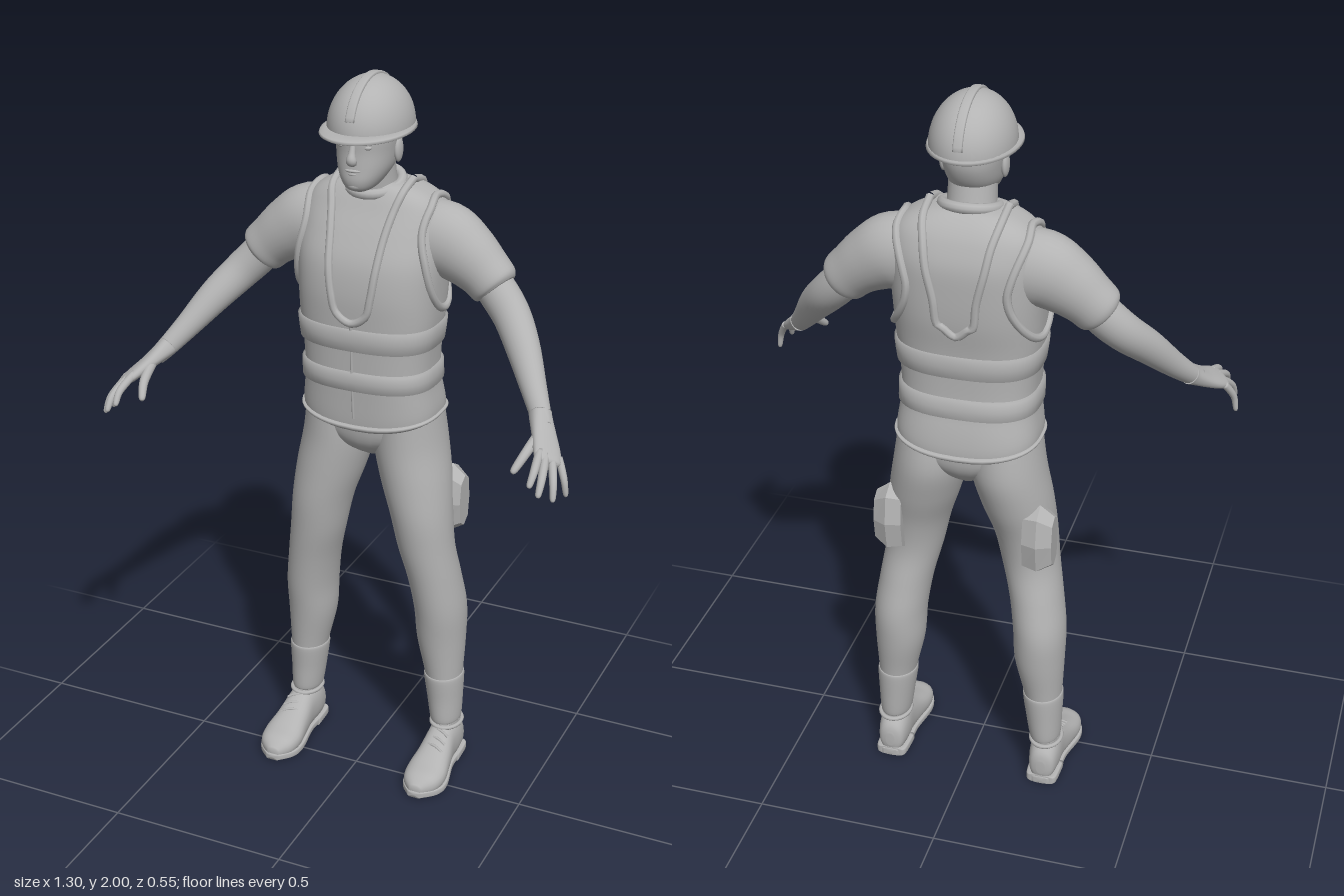
import * as THREE from 'three';

const grey = new THREE.MeshStandardMaterial({ color: 0xb3b3b3 });
grey.name = 'plain grey';
const V = (x, y, z) => new THREE.Vector3(x, y, z);
const X = V(1, 0, 0), Y = V(0, 1, 0), Z = V(0, 0, 1);

// Fill in smooth rows between the given ones (Catmull-Rom on every column)
function smooth(rows, k = 5) {
  const out = [], last = rows.length - 1;
  for (let i = 0; i < last; i++) {
    const [a, b, c, d] = [rows[Math.max(i - 1, 0)], rows[i], rows[i + 1], rows[Math.min(i + 2, last)]];
    for (let j = 0; j < k; j++) {
      const t = j / k;
      out.push(b.map((v, n) => v + 0.5 * t * (c[n] - a[n] + t * (2 * a[n] - 5 * v + 4 * c[n] - d[n]
        + t * (3 * (v - c[n]) + d[n] - a[n])))));
    }
  }
  out.push(rows[last]);
  return out;
}

// Superellipse rings [x, y, z, radius along ref, radius across] joined into a closed skin.
// With no axis the rings follow the path of their centres.
function loft(rows, { axis, ref = Z, n = 2, segs = 28, k = 5, warp } = {}) {
  const r = k > 1 ? smooth(rows, k) : rows, pos = [], idx = [];
  const centre = (i) => V(...r[Math.min(Math.max(i, 0), r.length - 1)].slice(0, 3));
  const add = (p) => { if (warp) warp(p); pos.push(p.x, p.y, p.z); };
  const round = (v) => Math.sign(v) * Math.abs(v) ** (2 / n);
  r.forEach((row, i) => {
    const t = axis || centre(i + 1).sub(centre(i - 1)).normalize();
    const u = ref.clone().addScaledVector(t, -ref.dot(t)).normalize();
    const v = t.clone().cross(u);
    for (let j = 0; j < segs; j++) {
      const a = (j / segs) * Math.PI * 2;
      add(centre(i).addScaledVector(u, row[3] * round(Math.cos(a))).addScaledVector(v, row[4] * round(Math.sin(a))));
    }
  });
  for (let i = 0; i < r.length - 1; i++) for (let j = 0; j < segs; j++) {
    const a = i * segs + j, b = i * segs + (j + 1) % segs;
    idx.push(a, b, a + segs, b, b + segs, a + segs);
  }
  const c0 = r.length * segs, top = c0 - segs;
  add(centre(0)); add(centre(r.length));
  for (let j = 0; j < segs; j++) {
    const q = (j + 1) % segs;
    idx.push(c0, q, j, c0 + 1, top + j, top + q);
  }
  const g = new THREE.BufferGeometry();
  g.setAttribute('position', new THREE.Float32BufferAttribute(pos, 3));
  g.setIndex(idx);
  g.computeVertexNormals();
  return g;
}

// Torso profile by height: front z, back z, half width
const TN = 2.7;
const torsoRows = smooth([
  [1.09, 0.015, -0.262, 0.188], [1.12, 0.02, -0.262, 0.188], [1.2, 0.026, -0.245, 0.178],
  [1.3, 0.03, -0.243, 0.182], [1.37, 0.035, -0.248, 0.19], [1.45, 0.038, -0.26, 0.194],
  [1.53, 0.028, -0.264, 0.197], [1.6, 0, -0.262, 0.194], [1.655, -0.028, -0.245, 0.186],
  [1.69, -0.045, -0.225, 0.16], [1.715, -0.06, -0.2, 0.11], [1.725, -0.075, -0.18, 0.06],
]).map(([y, f, b, w]) => [0, y, (f + b) / 2, (f - b) / 2, w]);

function torsoAt(y) {
  const i = Math.max(1, torsoRows.findIndex((r) => r[1] >= y));
  const a = torsoRows[i - 1], b = torsoRows[i], t = (y - a[1]) / (b[1] - a[1]);
  return a.map((v, n) => v + (b[n] - v) * t);
}
const rim = (q) => Math.max(0, 1 - Math.abs(q) ** TN) ** (1 / TN);
const torsoZ = (x, y, dir) => { const r = torsoAt(y); return r[2] + dir * r[3] * rim(x / r[4]); };
const torsoX = (z, y) => { const r = torsoAt(y); return r[4] * rim((z - r[2]) / r[3]); };
const hemDip = (p) => {
  if (p.y < 1.15) p.y -= 0.028 * (1 - (p.x / 0.2) ** 2) * (1.15 - p.y) / 0.06;
};

export function createModel() {
  const model = new THREE.Group();
  const part = (name, geo, parent = model) => {
    const m = new THREE.Mesh(geo, grey);
    m.name = name;
    parent.add(m);
    return m;
  };
  const group = (name) => { const g = new THREE.Group(); g.name = name; model.add(g); return g; };
  const ball = (name, p, s, parent) => {
    const m = part(name, new THREE.SphereGeometry(1, 20, 14), parent);
    m.position.set(...p); m.scale.set(...s);
  };
  const tube = (name, pts, r, closed = false, parent = model) =>
    part(name, new THREE.TubeGeometry(new THREE.CatmullRomCurve3(pts, closed), 72, r, 8, closed), parent);

  // Vest with raised bands and a turned hem
  const vest = group('vest');
  part('vestBody', loft(torsoRows, { axis: Y, n: TN, segs: 48, k: 1, warp: hemDip }), vest);
  for (const [y0, y1, out] of [[1.292, 1.36, 0.007], [1.178, 1.238, 0.007], [1.088, 1.104, 0.006]]) {
    const rows = [[y0, -0.004], [y0 + 0.005, out], [(y0 + y1) / 2, out + 0.001], [y1 - 0.005, out], [y1, -0.004]]
      .map(([y, o]) => { const r = torsoAt(Math.max(y, 1.09)); return [0, y, r[2], r[3] + o, r[4] + o]; });
    part('vestBand', loft(rows, { axis: Y, n: TN, segs: 48, k: 1, warp: hemDip }), vest);
  }

  // U-shaped neck trims, front and back, joined over the shoulders
  for (const [dir, low, w] of [[1, 1.375, 0.055], [-1, 1.42, 0.045]]) {
    const half = [[0.097, 1.705], [0.085, 1.66], [0.074, 1.6], [w + 0.01, 1.52], [w, 1.45], [w * 0.75, low + 0.025]];
    const pt = ([x, y]) => V(x, y, torsoZ(x, y, dir) + dir * 0.001);
    tube('neckTrim', [V(0.1, 1.728, -0.13), ...half.map(pt), pt([0, low]),
      ...half.map(([x, y]) => pt([-x, y])).reverse(), V(-0.1, 1.728, -0.13)], 0.011, false, vest);
  }
  tube('zip', [1.1, 1.2, 1.3, 1.38].map((y) => V(0, y, torsoZ(0, y, 1) + 0.001)), 0.004, false, vest);
  const collar = part('collar', new THREE.TorusGeometry(0.07, 0.014, 10, 36), vest);
  collar.position.set(0, 1.715, -0.115);
  collar.rotation.x = Math.PI / 2 + 0.25;

  // Neck and head
  part('neck', loft([[0, 1.62, -0.13, 0.075, 0.08], [0, 1.7, -0.11, 0.062, 0.064], [0, 1.8, -0.09, 0.06, 0.06]], { axis: Y }));
  const head = group('head');
  part('skull', loft([
    [0, 1.718, -0.025, 0.025, 0.02], [0, 1.728, -0.035, 0.053, 0.038], [0, 1.75, -0.05, 0.076, 0.055],
    [0, 1.78, -0.067, 0.092, 0.069], [0, 1.82, -0.078, 0.101, 0.076], [0, 1.86, -0.08, 0.104, 0.08],
    [0, 1.91, -0.085, 0.1, 0.078], [0, 1.95, -0.09, 0.07, 0.05],
  ], { axis: Y, n: 2.2, segs: 36 }), head);
  part('nose', loft([[0, 1.848, 0.018, 0.007, 0.007], [0, 1.825, 0.026, 0.009, 0.009],
    [0, 1.806, 0.03, 0.013, 0.014], [0, 1.796, 0.022, 0.008, 0.011]], { segs: 14 }), head);
  ball('upperLip', [0, 1.778, 0.02], [0.022, 0.005, 0.009], head);
  ball('lowerLip', [0, 1.769, 0.018], [0.018, 0.006, 0.009], head);
  ball('chin', [0, 1.738, 0.008], [0.022, 0.014, 0.016], head);
  for (const s of [1, -1]) {
    ball('eye', [0.032 * s, 1.838, 0.008], [0.014, 0.007, 0.01], head);
    ball('brow', [0.034 * s, 1.855, 0.008], [0.022, 0.006, 0.012], head);
    ball('ear', [0.078 * s, 1.815, -0.085], [0.01, 0.033, 0.02], head);
  }

  // Hard hat: dome, brim and centre ridge
  const hat = group('hardHat');
  const dome = part('dome', new THREE.SphereGeometry(1, 40, 16, 0, Math.PI * 2, 0, Math.PI / 2), hat);
  dome.position.set(0, 1.868, -0.092);
  dome.scale.set(0.107, 0.128, 0.138);
  part('brim', loft([[0, 1.86, -0.074, 0.155, 0.11], [0, 1.863, -0.074, 0.16, 0.116],
    [0, 1.869, -0.075, 0.158, 0.114], [0, 1.874, -0.088, 0.14, 0.108]], { axis: Y, segs: 44, k: 1 }), hat);
  const arc = Array.from({ length: 15 }, (_, i) => {
    const a = 0.3 + (i / 14) * (Math.PI - 0.5);
    return [0, 1.868 + 0.128 * Math.sin(a), -0.092 + 0.138 * Math.cos(a), 0.012, 0.006];
  });
  part('ridge', loft(arc, { ref: X, n: 4, segs: 16, k: 2 }), hat);

  // Hips
  part('hips', loft([[0, 0.95, -0.13, 0.04, 0.03], [0, 0.99, -0.125, 0.095, 0.1], [0, 1.04, -0.125, 0.12, 0.17],
    [0, 1.13, -0.122, 0.125, 0.175]], { axis: Y }));

  for (const s of [1, -1]) {
    const side = s > 0 ? 'left' : 'right';
    const flip = (rows) => rows.map(([x, ...rest]) => [x * s, ...rest]);
    const arm = group(side + 'Arm'), leg = group(side + 'Leg'), shoe = group(side + 'Shoe');

    // Armhole trim
    const hole = Array.from({ length: 24 }, (_, i) => {
      const a = (i / 24) * Math.PI * 2, y = 1.542 + 0.148 * Math.sin(a), z = -0.138 + 0.108 * Math.cos(a);
      return V(s * (torsoX(z, y) + 0.001), y, z);
    });
    tube('armholeTrim', hole, 0.011, true, vest);

    // Sleeve, arm and hand
    part('sleeve', loft(flip([[0.12, 1.575, -0.14, 0.085, 0.1], [0.19, 1.575, -0.138, 0.085, 0.1],
      [0.25, 1.545, -0.134, 0.077, 0.086], [0.3, 1.507, -0.13, 0.067, 0.072], [0.33, 1.478, -0.126, 0.061, 0.067],
      [0.34, 1.468, -0.124, 0.05, 0.053]])), arm);
    part('forearm', loft(flip([[0.3, 1.505, -0.13, 0.05, 0.05], [0.345, 1.457, -0.122, 0.05, 0.052],
      [0.39, 1.41, -0.1, 0.047, 0.05], [0.44, 1.352, -0.05, 0.042, 0.045], [0.495, 1.277, 0.015, 0.033, 0.034],
      [0.535, 1.225, 0.065, 0.025, 0.027], [0.55, 1.208, 0.088, 0.022, 0.024]])), arm);
    const across = V(0.71 * s, -0.38, -0.58);
    part('palm', loft(flip([[0.53, 1.232, 0.058, 0.028, 0.027], [0.536, 1.224, 0.07, 0.029, 0.025],
      [0.56, 1.199, 0.11, 0.034, 0.019], [0.582, 1.178, 0.15, 0.038, 0.016],
      [0.594, 1.166, 0.177, 0.036, 0.013], [0.598, 1.162, 0.185, 0.028, 0.006]]), { ref: across, n: 2.4 }), arm);
    for (const [name, a, b, r] of [
      ['indexFinger', [0.572, 1.178, 0.183], [0.578, 1.128, 0.265], 0.011],
      ['middleFinger', [0.588, 1.168, 0.183], [0.603, 1.108, 0.268], 0.011],
      ['ringFinger', [0.603, 1.158, 0.17], [0.63, 1.086, 0.233], 0.0105],
      ['littleFinger', [0.616, 1.152, 0.148], [0.643, 1.075, 0.17], 0.0095],
      ['thumb', [0.546, 1.2, 0.11], [0.52, 1.138, 0.225], 0.0135],
    ]) {
      const at = (t, lift, w) => [...a.map((v, i) => v + (b[i] - v) * t + (i ? lift : lift * 0.6)), w, w];
      part(name, loft(flip([at(-0.15, 0, r), at(0.25, 0.006, r), at(0.6, 0.008, r * 0.9),
        at(0.92, 0.002, r * 0.7), at(1, 0, r * 0.3)]), { ref: across, segs: 12, k: 4 }), arm);
    }

    // Trouser leg, ankle cuff and sock
    part('trouserLeg', loft(flip([[0.219, 0.14, -0.14, 0.052, 0.038], [0.211, 0.28, -0.14, 0.061, 0.052],
      [0.2, 0.4, -0.142, 0.077, 0.068], [0.197, 0.5, -0.137, 0.087, 0.072], [0.183, 0.6, -0.122, 0.086, 0.073],
      [0.163, 0.7, -0.107, 0.086, 0.078], [0.147, 0.8, -0.107, 0.097, 0.085], [0.125, 0.9, -0.12, 0.112, 0.096],
      [0.105, 1, -0.13, 0.122, 0.098], [0.1, 1.1, -0.125, 0.12, 0.088]]), { axis: Y, segs: 32 }), leg);
    part('cuff', loft(flip([[0.219, 0.136, -0.14, 0.048, 0.036], [0.219, 0.142, -0.14, 0.056, 0.043],
      [0.215, 0.21, -0.141, 0.06, 0.05], [0.211, 0.28, -0.14, 0.065, 0.056], [0.211, 0.287, -0.14, 0.06, 0.05]]),
      { axis: Y }), leg);
    part('sock', loft(flip([[0.222, 0.07, -0.14, 0.045, 0.034], [0.22, 0.16, -0.14, 0.046, 0.034]]), { axis: Y }), leg);

    // Faceted thigh pocket
    const pocket = loft(flip([[0.165, 0.818, -0.183, 0.095, 0.045], [0.205, 0.818, -0.185, 0.102, 0.054],
      [0.243, 0.815, -0.182, 0.075, 0.036]]), { axis: V(s, 0, 0), ref: Y, n: 2.6, segs: 8, k: 1 }).toNonIndexed();
    pocket.computeVertexNormals();
    part('thighPocket', pocket, leg);

    // Shoe: upper, sole, heel, opening and laces
    part('upper', loft(flip([[0.222, 0.055, -0.203, 0.012, 0.02], [0.222, 0.058, -0.192, 0.034, 0.048],
      [0.222, 0.07, -0.15, 0.043, 0.067], [0.223, 0.066, -0.095, 0.043, 0.064], [0.225, 0.05, -0.04, 0.05, 0.05],
      [0.226, 0.037, 0.02, 0.058, 0.038], [0.225, 0.032, 0.065, 0.048, 0.03], [0.222, 0.025, 0.096, 0.016, 0.014]]),
      { axis: Z, ref: X, n: 2.3, warp: (p) => { p.y = Math.max(p.y, 0.01); } }), shoe);
    part('sole', loft(flip([[0.222, 0.012, -0.205, 0.018, 0.01], [0.222, 0.012, -0.19, 0.04, 0.011],
      [0.222, 0.013, -0.14, 0.045, 0.011], [0.223, 0.014, -0.08, 0.045, 0.01], [0.226, 0.011, 0.01, 0.061, 0.011],
      [0.225, 0.012, 0.06, 0.053, 0.011], [0.222, 0.014, 0.1, 0.018, 0.009]]), { axis: Z, ref: X, n: 6 }), shoe);
    part('heel', loft(flip([[0.222, 0.013, -0.202, 0.028, 0.013], [0.222, 0.013, -0.19, 0.043, 0.013],
      [0.222, 0.013, -0.12, 0.047, 0.013]]), { axis: Z, ref: X, n: 6 }), shoe);
    const opening = part('opening', new THREE.TorusGeometry(0.042, 0.006, 8, 28), shoe);
    opening.position.set(0.222 * s, 0.125, -0.14);
    opening.rotation.x = Math.PI / 2;
    opening.scale.y = 1.25;
    for (const [y, z] of [[0.121, -0.08], [0.108, -0.058], [0.097, -0.035]]) {
      tube('lace', [-0.03, -0.015, 0, 0.015, 0.03].map((x) => V(0.224 * s + x, y - 12 * x * x, z + x * 0.3 * s)),
        0.004, false, shoe);
    }
  }
  return model;
}
